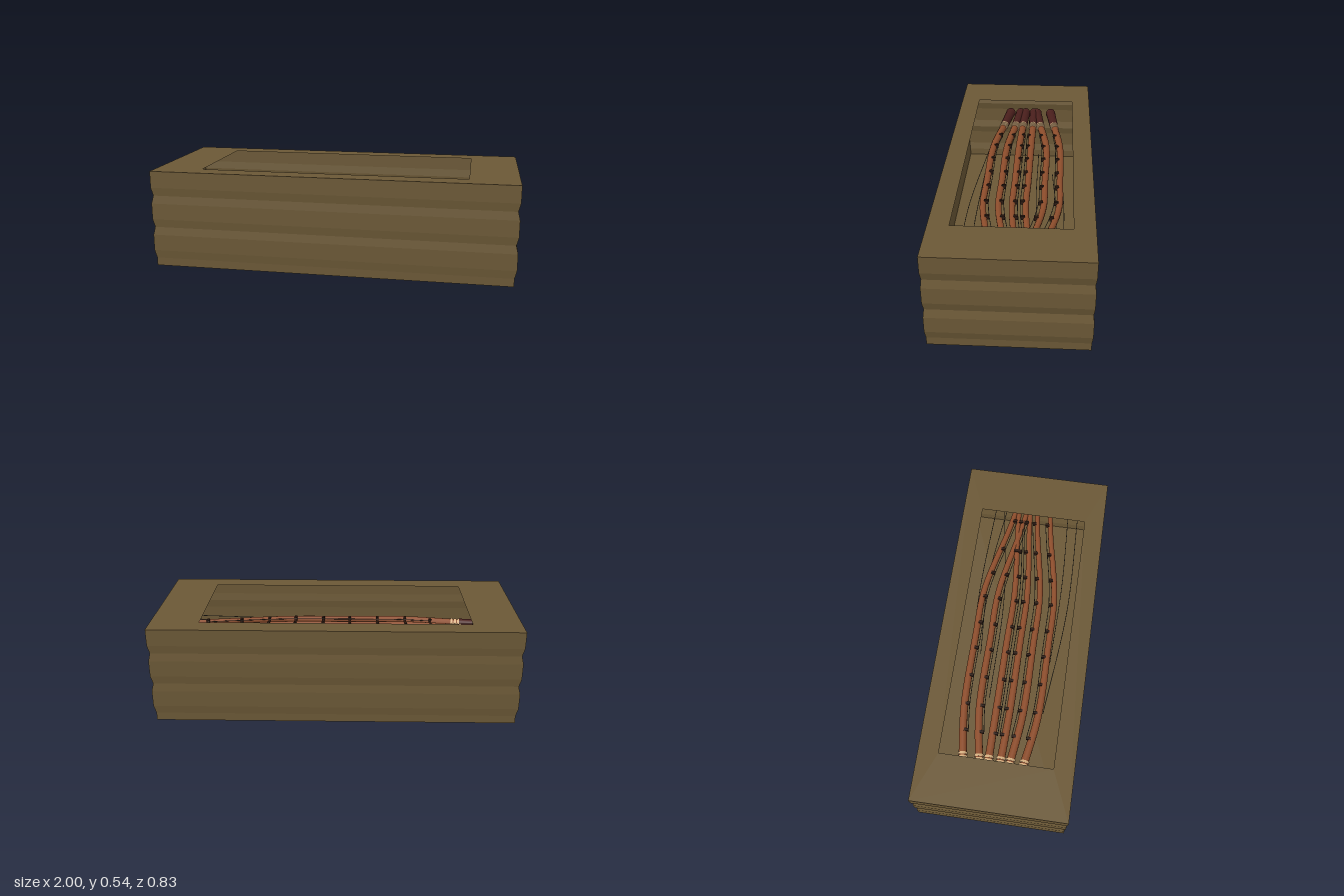
import * as THREE from 'three';

const mat = (color, extra = {}) => new THREE.MeshStandardMaterial({ color, ...extra });
const earth = mat(0x6b5836, { side: THREE.DoubleSide, flatShading: true });
const wood = mat(0x8f4e2c);
const dark = mat(0x2c1a12);
const cream = mat(0xd9b282);
const grip = mat(0x4a1f1c);
const cord = mat(0x4c463c);

function add(parent, name, geometry, material) {
  const mesh = new THREE.Mesh(geometry, material);
  mesh.name = name;
  parent.add(mesh);
  return mesh;
}

// Skin over a stack of rectangles, each given as [half width, half depth, height]
function rectLoft(rings) {
  const pos = [], index = [];
  for (const [hx, hz, y] of rings) pos.push(-hx, y, hz, hx, y, hz, hx, y, -hz, -hx, y, -hz);
  for (let r = 0; r < rings.length - 1; r++) {
    for (let i = 0; i < 4; i++) {
      const a = r * 4 + i, b = r * 4 + (i + 1) % 4;
      index.push(a, b, b + 4, a, b + 4, a + 4);
    }
  }
  index.push(0, 2, 1, 0, 3, 2); // base
  const g = new THREE.BufferGeometry();
  g.setAttribute('position', new THREE.Float32BufferAttribute(pos, 3));
  g.setIndex(index);
  const flat = g.toNonIndexed();
  flat.computeVertexNormals();
  return flat;
}

// Tube whose radius changes linearly along its length
function taperedTube(curve, r0, r1, segments = 40, sides = 10) {
  const g = new THREE.TubeGeometry(curve, segments, 1, sides);
  const p = g.attributes.position, c = new THREE.Vector3(), v = new THREE.Vector3();
  for (let i = 0; i < p.count; i++) {
    const t = Math.floor(i / (sides + 1)) / segments;
    curve.getPointAt(t, c);
    v.fromBufferAttribute(p, i).sub(c).multiplyScalar(r0 + (r1 - r0) * t).add(c);
    p.setXYZ(i, v.x, v.y, v.z);
  }
  return g;
}

const path = (pts) => new THREE.CatmullRomCurve3(pts.map((p) => new THREE.Vector3(...p)));

// Rod lying along x, with grip, bindings, line guides and a line
function makeRod(zLeft, zMid, zRight) {
  const rod = new THREE.Group();
  rod.name = 'rod';
  const y = 0.37;
  const curve = path([
    [-0.72, y, zLeft], [-0.42, y, zMid], [0, y, zMid * 1.02], [0.3, y, zMid],
    [0.72, y + 0.01, zRight], [0.93, y + 0.01, zRight - (zMid - zRight) * 0.4],
  ]);
  add(rod, 'shaft', taperedTube(curve, 0.023, 0.015), wood);

  const start = curve.getPointAt(0), dir = curve.getTangentAt(0);
  const up = new THREE.Vector3(0, 1, 0);
  const along = (mesh, d) => {
    mesh.position.copy(start).addScaledVector(dir, d);
    mesh.quaternion.setFromUnitVectors(up, dir);
  };
  along(add(rod, 'grip', new THREE.CylinderGeometry(0.027, 0.031, 0.2, 12), grip), -0.11);
  along(add(rod, 'gripCap', new THREE.SphereGeometry(0.033, 12, 8), grip), -0.2);
  for (let i = 0; i < 3; i++) {
    along(add(rod, 'binding', new THREE.CylinderGeometry(0.027, 0.027, 0.013, 12), cream), -0.005 + i * 0.02);
  }

  // Guides sit on the side facing the middle of the box
  const side = zMid > 0 ? -1 : 1;
  const linePoints = [];
  for (const t of [0.1, 0.19, 0.29, 0.39, 0.485, 0.585, 0.68, 0.78, 0.9]) {
    const p = curve.getPointAt(t);
    const guide = add(rod, 'guide', new THREE.BoxGeometry(0.015, 0.024, 0.024), dark);
    guide.position.set(p.x, p.y + 0.01, p.z + side * 0.018);
    linePoints.push([p.x, p.y + 0.012, p.z + side * 0.03]);
  }
  add(rod, 'line', new THREE.TubeGeometry(path(linePoints), 40, 0.002, 5), cord);
  return rod;
}

export function createModel() {
  const model = new THREE.Group();
  model.name = 'rodCrate';

  // Ridged hollow crate with a flat rim around the opening
  const notch = [0.989, 0.408], full = [1, 0.413];
  const rings = [[...notch, 0], [...notch, 0.045], [...full, 0.09]];
  for (const y of [0.225, 0.405]) {
    rings.push([...full, y - 0.045], [...notch, y], [...full, y + 0.045]);
  }
  rings.push([...full, 0.543], [0.735, 0.303, 0.543]);
  add(model, 'crate', rectLoft(rings), earth);

  // Six rods: z at the grip, the middle and the tip
  const rods = [
    [-0.19, -0.23, -0.14], [-0.1, -0.145, -0.07], [-0.05, -0.05, -0.09],
    [0.015, 0.025, -0.02], [0.065, 0.1, 0.03], [0.14, 0.185, 0.11],
  ];
  for (const r of rods) model.add(makeRod(...r));

  // Slack lines curving outside and between the rods
  for (const [x, z0, z1, z2] of [
    [-0.3, -0.23, -0.26, -0.24], [-0.1, -0.19, -0.22, -0.17], [-0.35, -0.1, -0.11, -0.2],
    [-0.4, 0.21, 0.27, 0.26], [-0.1, 0.21, 0.22, 0.2],
  ]) {
    const c = path([[x, 0.36, z0], [(x + 0.9) / 2, 0.34, z1], [0.9, 0.36, z2]]);
    add(model, 'slackLine', new THREE.TubeGeometry(c, 24, 0.002, 5), cord);
  }
  return model;
}
